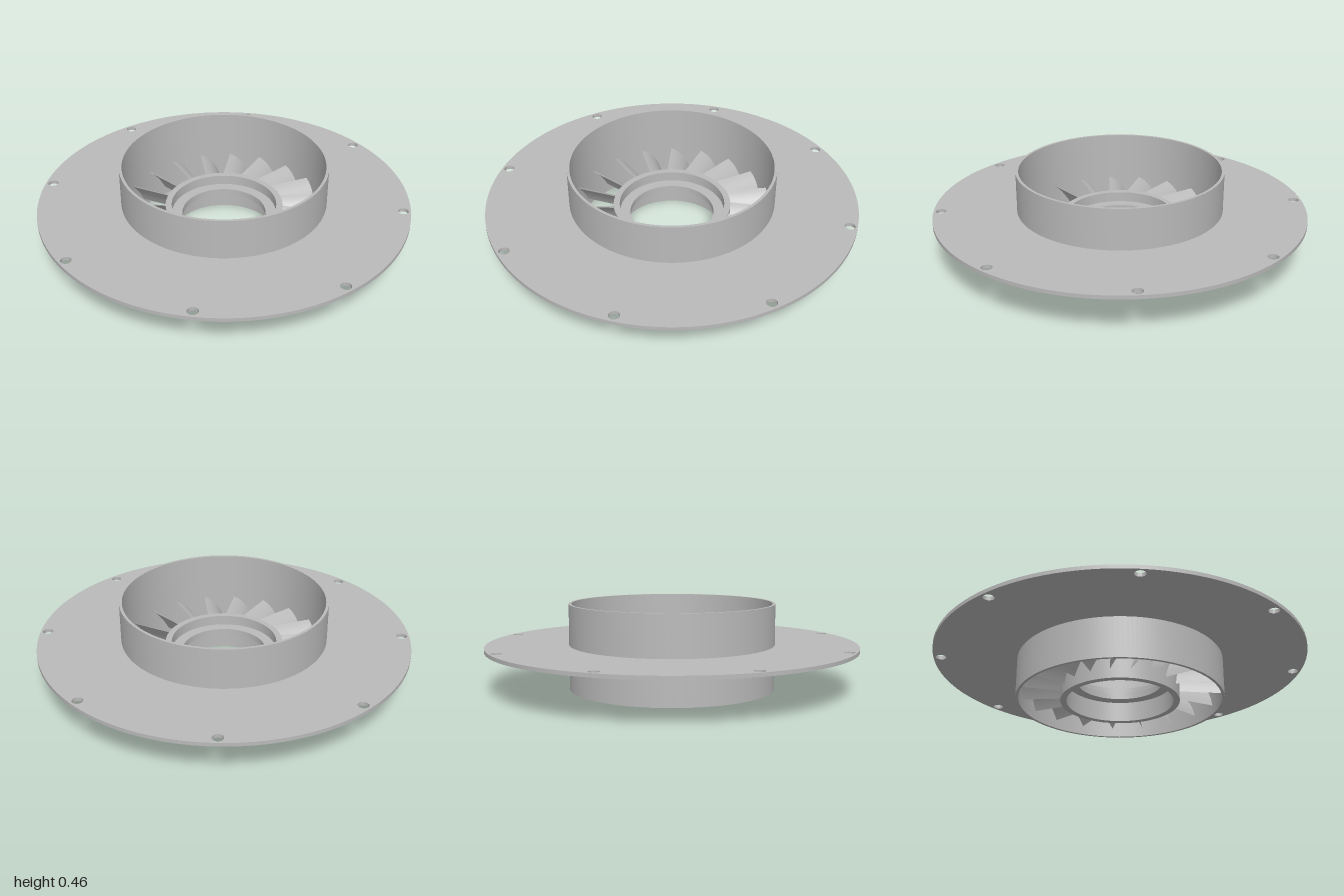
import * as THREE from 'three';
import { toCreasedNormals } from 'three/addons/utils/BufferGeometryUtils.js';

const metal = new THREE.MeshStandardMaterial({ color: 0xbababa });
metal.name = 'grey metal';

function circle(target, x, y, r, clockwise = false) {
  target.absarc(x, y, r, 0, Math.PI * 2, clockwise);
  return target;
}

// Flat ring lying between heights y0 and y1, with optional bolt holes
function annulus(name, outer, inner, y0, y1, bolts = []) {
  const shape = circle(new THREE.Shape(), 0, 0, outer);
  shape.holes.push(circle(new THREE.Path(), 0, 0, inner, true));
  for (const [x, z, r] of bolts) shape.holes.push(circle(new THREE.Path(), x, z, r, true));
  const geo = new THREE.ExtrudeGeometry(shape, { depth: y1 - y0, bevelEnabled: false, curveSegments: 72 });
  geo.rotateX(-Math.PI / 2).translate(0, y0, 0);
  const mesh = new THREE.Mesh(toCreasedNormals(geo, 0.5), metal);
  mesh.name = name;
  return mesh;
}

// Curved vane section, swept outwards from the hub into the outer ring
function bladeGeometry() {
  const section = new THREE.Shape();
  section.moveTo(0.058, 0.2);
  section.quadraticCurveTo(-0.03, 0.165, -0.058, 0.05);
  section.quadraticCurveTo(-0.012, 0.142, 0.058, 0.2);
  const geo = new THREE.ExtrudeGeometry(section, { depth: 0.24, bevelEnabled: false, curveSegments: 12 });
  geo.translate(0, 0, 0.305);
  return toCreasedNormals(geo, 0.5);
}

export function createModel() {
  const model = new THREE.Group();
  model.name = 'vaneRing';

  // Mounting flange with eight bolt holes
  const bolts = [];
  for (let i = 0; i < 8; i++) {
    const a = (i * Math.PI) / 4;
    bolts.push([0.96 * Math.cos(a), 0.96 * Math.sin(a), 0.028]);
  }
  model.add(annulus('flange', 1, 0.547, 0.22, 0.24, bolts));

  // Outer duct, hub sleeve and the web inside the hub
  model.add(annulus('outerRing', 0.555, 0.54, 0, 0.46));
  model.add(annulus('hubSleeve', 0.318, 0.285, 0, 0.2));
  model.add(annulus('hubWeb', 0.29, 0.228, 0.11, 0.145));

  // Guide vanes
  const vanes = new THREE.Group();
  vanes.name = 'vanes';
  const geo = bladeGeometry();
  const count = 19;
  for (let i = 0; i < count; i++) {
    const vane = new THREE.Mesh(geo, metal);
    vane.name = 'vane';
    vane.rotation.y = -0.07 + (i * Math.PI * 2) / count;
    vanes.add(vane);
  }
  model.add(vanes);
  return model;
}
